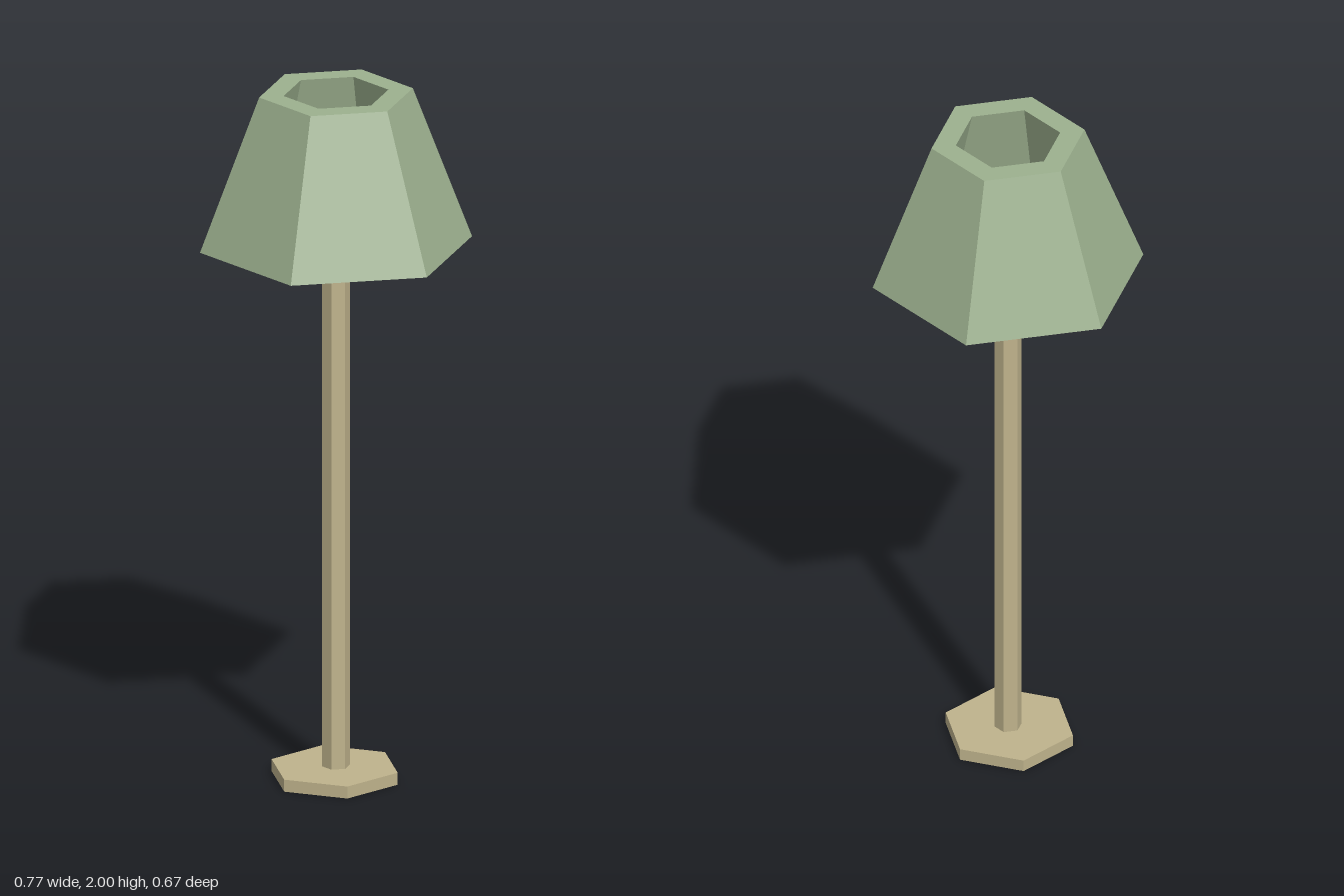
import * as THREE from 'three';

const SIDES = 6;

export function createModel() {
  const lamp = new THREE.Group();
  lamp.name = 'floorLamp';

  const wood = new THREE.MeshStandardMaterial({ color: 0xbfb38c, flatShading: true });
  const fabric = new THREE.MeshStandardMaterial({ color: 0x9db18f, flatShading: true });

  const add = (name, geometry, material) => {
    const mesh = new THREE.Mesh(geometry, material);
    mesh.name = name;
    lamp.add(mesh);
    return mesh;
  };

  // Upright hexagonal prism between two heights
  const prism = (radius, y0, y1) =>
    new THREE.CylinderGeometry(radius, radius, y1 - y0, SIDES).translate(0, (y0 + y1) / 2, 0);

  // Foot plate, corners towards front and back
  add('base', prism(0.185, 0, 0.035), wood).position.z = 0.005;

  // Pole, ending a little way inside the shade
  add('pole', prism(0.039, 0.035, 1.65), wood).rotation.y = Math.PI / 6;

  // Thick-walled shade, open at top and bottom, corners towards the sides
  const wall = [
    [0.262, 1.557], [0.384, 1.557], [0.217, 2], [0.148, 2], [0.262, 1.557],
  ].map(([r, y]) => new THREE.Vector2(r, y));
  add('shade', new THREE.LatheGeometry(wall, SIDES), fabric).rotation.y = Math.PI / 6;

  return lamp;
}
